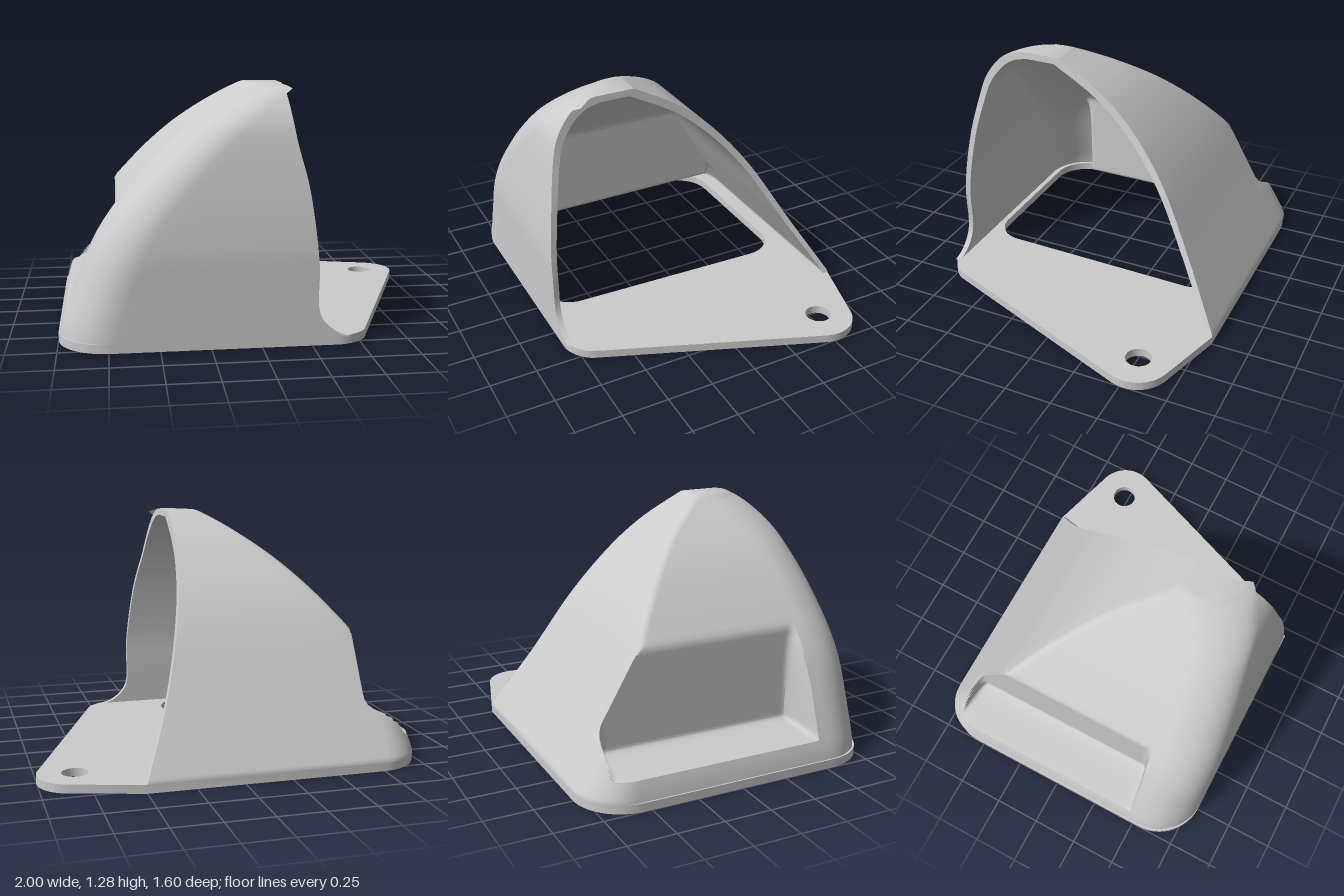
import * as THREE from 'three';
import { toCreasedNormals } from 'three/addons/utils/BufferGeometryUtils.js';

const TOP = 1.28, WALL = 0.03;

// Smooth curve through [value, height] points, looked up by height
function profile(points) {
  const pts = new THREE.SplineCurve(points.map(p => new THREE.Vector2(...p))).getPoints(240);
  return y => {
    for (let i = 1; i < pts.length; i++) {
      const a = pts[i - 1], b = pts[i];
      if (y <= b.y) {
        const t = THREE.MathUtils.clamp((y - a.y) / (b.y - a.y || 1), 0, 1);
        return a.x + (b.x - a.x) * t;
      }
    }
    return pts[pts.length - 1].x;
  };
}

const frontZ = profile([[0.8, 0], [0.8, 0.25], [0.8, 0.5], [0.765, 0.8], [0.72, 1.02], [0.685, 1.12], [0.62, 1.21], [0.55, 1.26], [0.47, TOP]]);
const backZ = profile([[-0.83, 0], [-0.8, 0.055], [-0.6, 0.39], [-0.4, 0.725], [-0.2, 0.97], [0, 1.14], [0.25, TOP]]);
const sideX = profile([[-1, 0], [-0.96, 0.16], [-0.8, 0.54], [-0.6, 0.81], [-0.4, 1.02], [-0.2, 1.18], [-0.06, 1.27], [-0.02, TOP]]);
const backCut = profile([[0.505, 0.04], [0.35, 0.4], [0.24, 0.76], [0.18, 1.02], [0.14, TOP]]);
const frontCut = profile([[0.46, 0.035], [0.38, 0.06], [0.31, 0.12], [0.28, 0.21], [0.28, 0.42], [0.24, 0.76], [0.18, 1.02], [0.14, TOP]]);

// Fillet-like ramp from 0 to 1
const ease = (v, start, width) => 1 - (1 - THREE.MathUtils.clamp((v - start) / width, 0, 1)) ** 3;

// Horizontal section of the hood: front wall, corner, side wall, corner, back wall
function section(level, inset) {
  const y = level * (TOP - inset * 1.15) / TOP;
  const zf = frontZ(level) - inset, zb = Math.max(backZ(level), -0.8) + inset, xl = sideX(level) + inset;
  const span = zf - zb;
  const rf = Math.min(0.27, span * 0.75) - inset;
  const rb = Math.min(THREE.MathUtils.lerp(0.25, 0.03, Math.min(1, level / 0.55)), span * 0.2);
  const pts = [];
  const line = (x0, z0, x1, z1, n) => {
    for (let i = 0; i < n; i++) pts.push([x0 + (x1 - x0) * i / n, z0 + (z1 - z0) * i / n]);
  };
  const arc = (cx, cz, r, a0, n) => {
    for (let i = 0; i < n; i++) {
      const a = a0 + Math.PI / 2 * i / n;
      pts.push([cx + r * Math.cos(a), cz - r * Math.sin(a)]);
    }
  };
  line(frontCut(y), zf, xl + rf, zf, 8);
  arc(xl + rf, zf - rf, rf, -Math.PI / 2 + Math.PI * 2, 0);
  for (let i = 0; i < 16; i++) {
    const a = Math.PI / 2 * i / 16;
    pts.push([xl + rf - rf * Math.sin(a), zf - rf + rf * Math.cos(a)]);
  }
  line(xl, zf - rf, xl, zb + rb, 90);
  arc(xl + rb, zb + rb, rb, Math.PI, 0);
  for (let i = 0; i < 24; i++) {
    const a = Math.PI / 2 * i / 24;
    pts.push([xl + rb - rb * Math.cos(a), zb + rb - rb * Math.sin(a)]);
  }
  line(xl + rb, zb, backCut(y), zb, 8);
  pts.push([backCut(y), zb]);

  // Pocket pressed into the side wall
  const pocketX = -0.7 + inset;
  return pts.map(([x, z]) => {
    const w = ease(level + inset, 0.15, 0.06) * ease(0.47 + inset - z, 0, 0.06) * ease(z + 0.67 + inset, 0, 0.06);
    return [Math.max(x, x + (pocketX - x) * w), y, z];
  });
}

// Closed shell: outer skin, opening rim and inner skin in one loop per level
function hoodGeometry() {
  const levels = [];
  for (let i = 0; i < 5; i++) levels.push(0.04 + 0.07 * i / 5);
  for (let i = 0; i < 18; i++) levels.push(0.11 + 0.11 * i / 18);
  for (let i = 0; i <= 70; i++) levels.push(0.22 + (TOP - 0.22) * Math.sin(Math.PI / 2 * i / 70));
  const loops = levels.map(l => {
    const loop = [...section(l, 0).reverse(), ...section(l, WALL)];
    return [...loop, loop[0]];
  });
  // The last loop folds to a line and closes the flat crown
  const last = loops[loops.length - 1];
  loops.push(last.map(([x, y]) => [x, y, 0.36]));

  const n = last.length, index = [];
  for (let r = 0; r < loops.length - 1; r++) {
    for (let j = 0; j < n - 1; j++) {
      const a = r * n + j, b = a + 1, c = a + n, d = c + 1;
      index.push(a, b, d, a, d, c);
    }
  }
  const geo = new THREE.BufferGeometry();
  geo.setAttribute('position', new THREE.Float32BufferAttribute(loops.flat(2), 3));
  geo.setIndex(index);
  return toCreasedNormals(geo, 0.6);
}

// Polygon of [x, z, corner length] with rounded corners
function rounded(path, corners) {
  const v = corners.map(([x, z]) => new THREE.Vector2(x, -z));
  const n = v.length;
  for (let i = 0; i < n; i++) {
    const p = v[i], d = corners[i][2];
    const toPrev = v[(i + n - 1) % n].clone().sub(p).normalize();
    const toNext = v[(i + 1) % n].clone().sub(p).normalize();
    const at = (dir, len) => p.clone().addScaledVector(dir, len);
    const a = at(toPrev, d), b = at(toNext, d);
    const c1 = at(toPrev, d * 0.448), c2 = at(toNext, d * 0.448);
    if (i === 0) path.moveTo(a.x, a.y); else path.lineTo(a.x, a.y);
    if (d > 0) path.bezierCurveTo(c1.x, c1.y, c2.x, c2.y, b.x, b.y);
  }
  path.closePath();
  return path;
}

// Base flange with the floor opening and the bolt hole
function plateGeometry() {
  const shape = rounded(new THREE.Shape(), [
    [-1, 0.8, 0.26], [0.5, 0.8, 0.12], [1.062, -0.637, 0.2], [0.5, -0.8, 0], [-1, -0.8, 0.26],
  ]);
  shape.holes.push(rounded(new THREE.Path(), [
    [-0.94, 0.74, 0.2], [0.1, 0.74, 0.16], [0.14, -0.68, 0.18], [-0.94, -0.68, 0.2],
  ]));
  shape.holes.push(new THREE.Path().absarc(0.81, 0.52, 0.068, 0, Math.PI * 2, true));
  const geo = new THREE.ExtrudeGeometry(shape, { depth: 0.045, bevelEnabled: false, curveSegments: 20 });
  geo.rotateX(-Math.PI / 2);
  return toCreasedNormals(geo, 0.6);
}

export function createModel() {
  const group = new THREE.Group();
  const material = new THREE.MeshStandardMaterial({ color: 0xcccccc });
  const add = (name, geo) => {
    const mesh = new THREE.Mesh(geo, material);
    mesh.name = name;
    group.add(mesh);
  };
  add('hoodShell', hoodGeometry());
  add('basePlate', plateGeometry());
  return group;
}
